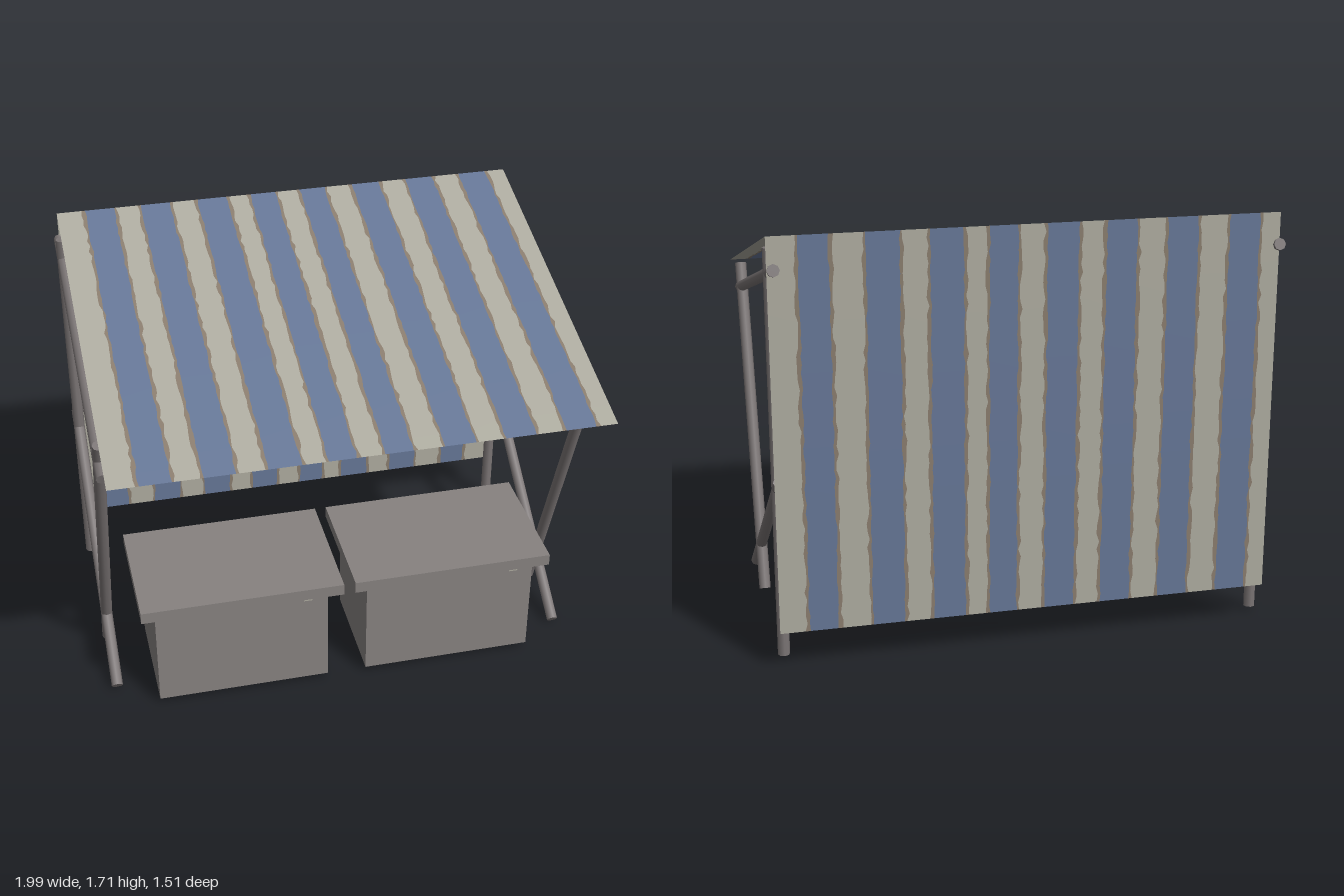
import * as THREE from 'three';

const mat = (name, color, extra = {}) => {
  const m = new THREE.MeshStandardMaterial({ color, ...extra });
  m.name = name;
  return m;
};

// Small seeded generator for the ragged stripe edges
function seeded(seed) {
  return () => {
    seed = (seed * 16807) % 2147483647;
    return seed / 2147483647;
  };
}

export function createModel() {
  const root = new THREE.Group();
  root.name = 'marketStall';
  const two = { side: THREE.DoubleSide };
  const cream = mat('creamCloth', 0xaeaca0, two);
  const blue = mat('blueCloth', 0x667797, two);
  const tan = mat('tanStripeEdge', 0x8a7d6e, two);
  const wood = mat('greyPole', 0x7b7575);
  const stone = mat('greyCounter', 0x878280);

  const add = (parent, name, geometry, material, x = 0, y = 0, z = 0) => {
    const mesh = new THREE.Mesh(geometry, material);
    mesh.name = name;
    mesh.position.set(x, y, z);
    parent.add(mesh);
    return mesh;
  };

  // Striped cloth between a near edge a and far edge b, each [y, z]
  const LEFT = -0.975, RIGHT = 0.997, STEPS = 48;
  function cloth(name, a, b, stripes, seed) {
    const rnd = seeded(seed);
    const group = new THREE.Group();
    group.name = name;
    const line = (x, wobble) =>
      Array.from({ length: STEPS + 1 }, () => x + (rnd() - 0.5) * wobble);

    // Boundaries run left to right: cream | tan | blue | tan | cream ...
    const edges = [line(LEFT, 0)];
    const colours = [];
    for (const [x0, x1] of stripes) {
      edges.push(line(x0 - 0.012, 0.012), line(x0, 0.008), line(x1, 0.008), line(x1 + 0.012, 0.012));
      colours.push(cream, tan, blue, tan);
    }
    edges.push(line(RIGHT, 0));
    colours.push(cream);

    for (const material of [cream, tan, blue]) {
      const pos = [], index = [];
      colours.forEach((c, k) => {
        if (c !== material) return;
        const base = pos.length / 3;
        for (let i = 0; i <= STEPS; i++) {
          const t = i / STEPS;
          const y = a[0] + (b[0] - a[0]) * t, z = a[1] + (b[1] - a[1]) * t;
          pos.push(edges[k][i], y, z, edges[k + 1][i], y, z);
          if (i < STEPS) {
            const n = base + i * 2;
            index.push(n, n + 1, n + 3, n, n + 3, n + 2);
          }
        }
      });
      const geo = new THREE.BufferGeometry();
      geo.setAttribute('position', new THREE.Float32BufferAttribute(pos, 3));
      geo.setIndex(index);
      geo.computeVertexNormals();
      add(group, name + ' ' + material.name, geo, material);
    }
    root.add(group);
  }

  // Sloping roof and hanging back wall
  cloth('roofCloth', [1.308, 0.75], [1.708, -0.74], [
    [-0.856, -0.735], [-0.62, -0.495], [-0.375, -0.248], [-0.146, -0.037],
    [0.073, 0.182], [0.305, 0.426], [0.545, 0.668], [0.79, 0.912]], 17);
  cloth('backCloth', [0.163, -0.74], [1.708, -0.74], [
    [-0.893, -0.77], [-0.642, -0.522], [-0.4, -0.28], [-0.17, -0.05],
    [0.064, 0.172], [0.27, 0.395], [0.51, 0.636], [0.77, 0.882]], 91);

  // Pole frame on each side: ends given as [y, z]
  const poles = {
    backPost: [[0.023, -0.622], [1.643, -0.622]],
    leaningPost: [[0.027, 0.027], [1.345, 0.506]],
    brace: [[0.022, 0.359], [0.758, -0.69]],
    rafter: [[1.228, 0.56], [1.585, -0.752]],
  };
  for (const side of [1, -1]) {
    const frame = new THREE.Group();
    frame.name = side > 0 ? 'leftFrame' : 'rightFrame';
    for (const [name, [p, q]] of Object.entries(poles)) {
      const dy = q[0] - p[0], dz = q[1] - p[1];
      const geo = new THREE.CylinderGeometry(0.024, 0.024, Math.hypot(dy, dz), 8);
      const pole = add(frame, name, geo, wood,
        side * 0.973, (p[0] + q[0]) / 2, (p[1] + q[1]) / 2);
      pole.rotation.x = Math.atan2(dz, dy);
    }
    root.add(frame);
  }

  // Two counters with overhanging tops and a small pale chip near the corner
  for (const [name, x] of [['rightCounter', -0.447], ['leftCounter', 0.441]]) {
    const counter = new THREE.Group();
    counter.name = name;
    counter.position.x = x;
    add(counter, 'counterBox', new THREE.BoxGeometry(0.722, 0.45, 0.47), stone, 0, 0.255, 0.256);
    add(counter, 'counterTop', new THREE.BoxGeometry(0.84, 0.05, 0.545), stone, 0, 0.505, 0.258);
    add(counter, 'frontChip', new THREE.BoxGeometry(0.036, 0.036, 0.004), cream, 0.276, 0.462, 0.492);
    add(counter, 'sideChip', new THREE.BoxGeometry(0.004, 0.02, 0.02), cream, 0.362, 0.468, 0.07);
    root.add(counter);
  }
  return root;
}
